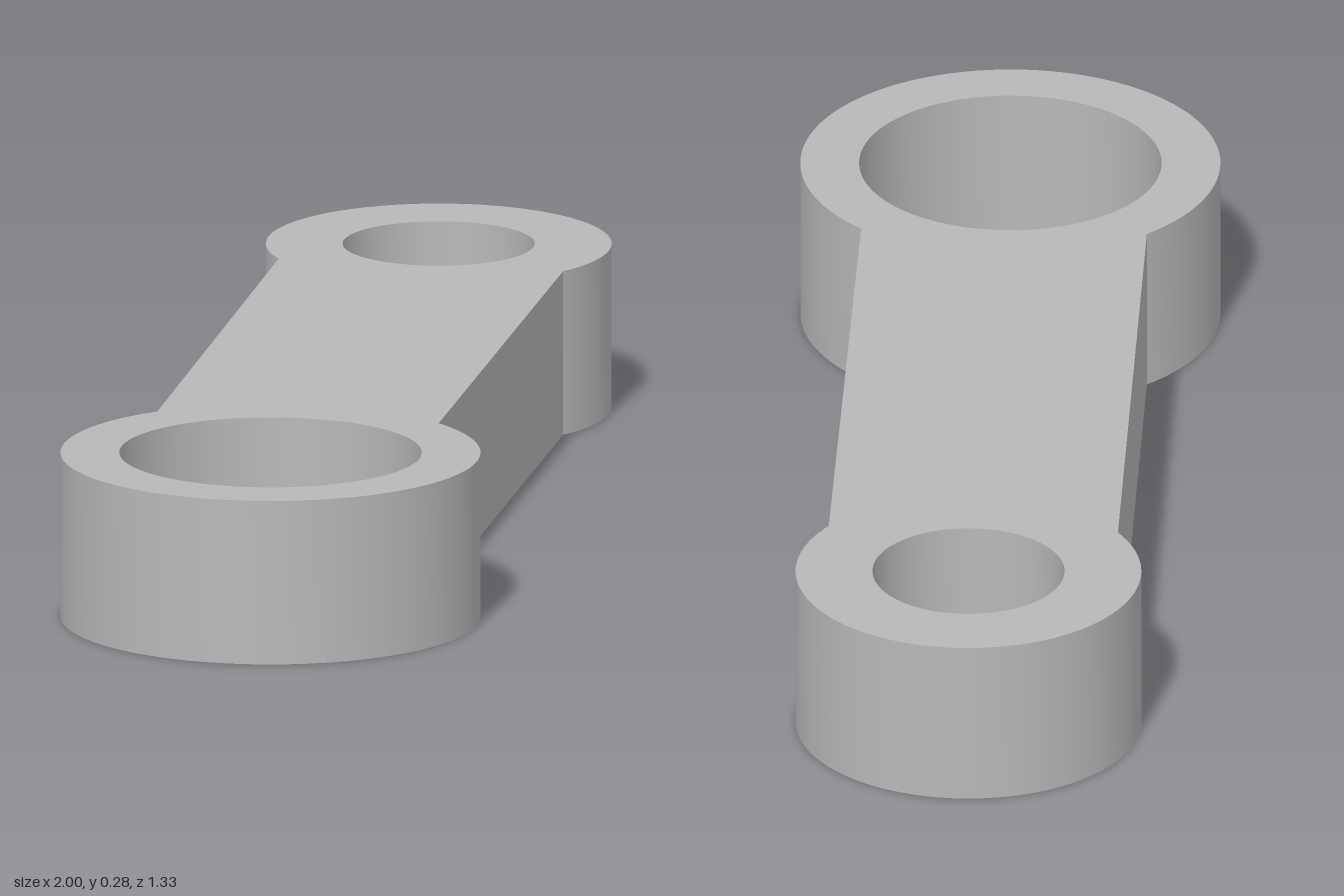
import * as THREE from 'three';
import { toCreasedNormals } from 'three/addons/utils/BufferGeometryUtils.js';

const HEIGHT = 0.28;

// Ring ends in plan (x, -z): outer radius, bore radius, and the outer arc between its joints with the arm
const bigEnd = { x: -0.65, y: -0.314, radius: 0.35, bore: 0.252, from: 1.226, to: 2 * Math.PI - 0.271 };
const smallEnd = { x: 0.712, y: 0.383, radius: 0.288, bore: 0.16, from: -1.682, to: 2.616 };

export function createModel() {
  const group = new THREE.Group();
  group.name = 'connectingLink';
  const metal = new THREE.MeshStandardMaterial({ color: 0xb8b8b8 });
  metal.name = 'light grey metal';

  // Outline: the arcs are joined by the two straight sides of the arm
  const outline = new THREE.Shape();
  for (const end of [bigEnd, smallEnd]) {
    outline.absarc(end.x, end.y, end.radius, end.from, end.to, false);
    const bore = new THREE.Path();
    bore.absarc(end.x, end.y, end.bore, 0, 2 * Math.PI, true);
    outline.holes.push(bore);
  }
  outline.closePath();

  // Extrude upward, with smooth round walls and sharp rims
  const solid = new THREE.ExtrudeGeometry(outline, { depth: HEIGHT, bevelEnabled: false, curveSegments: 48 });
  solid.rotateX(-Math.PI / 2);
  const link = new THREE.Mesh(toCreasedNormals(solid, 0.4), metal);
  link.name = 'linkArm';
  group.add(link);
  return group;
}
